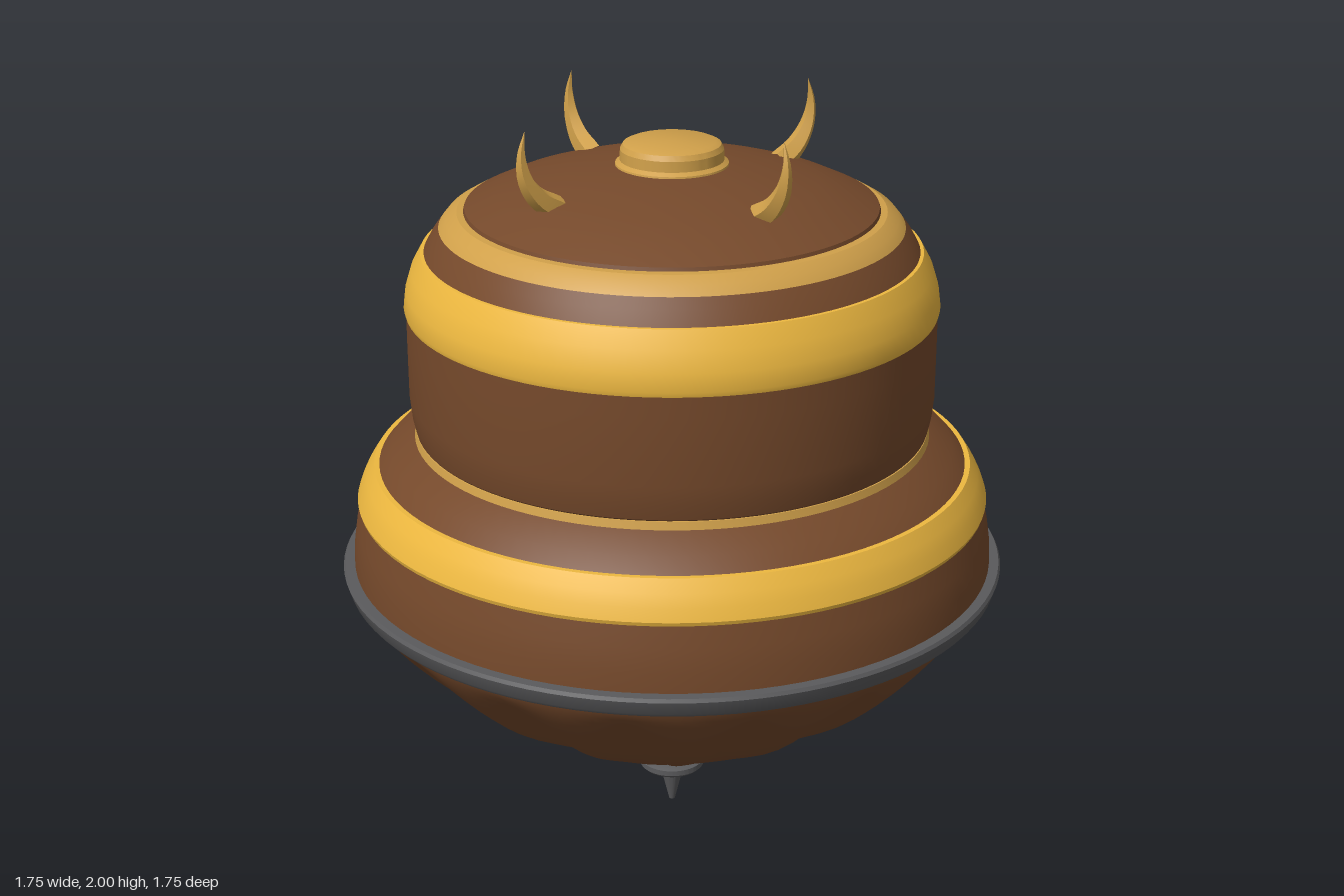
import * as THREE from 'three';
import { toCreasedNormals } from 'three/addons/utils/BufferGeometryUtils.js';

const material = (color) => new THREE.MeshStandardMaterial({ color });
const points = (list) => list.map(([r, y]) => new THREE.Vector2(r, y));

export function createModel() {
  const model = new THREE.Group();
  const brown = material(0x75492b);
  const gold = material(0xedb840);
  const paleGold = material(0xd0a04a);
  const steel = material(0x5a5a5c);

  const add = (name, geometry, mat, parent = model) => {
    const mesh = new THREE.Mesh(geometry, mat);
    mesh.name = name;
    parent.add(mesh);
    return mesh;
  };
  // Turned part: profile of [radius, height] from bottom to top
  const turn = (name, mat, profile) =>
    add(name, toCreasedNormals(new THREE.LatheGeometry(points(profile), 96), 0.4), mat);

  // Metal tip and collar
  turn('tip', steel, [[0, 0.005], [0.008, 0.01], [0.036, 0.125]]);
  turn('tipCollar', steel, [[0, 0.12], [0.08, 0.12], [0.088, 0.128], [0.088, 0.143], [0.07, 0.15], [0, 0.15]]);

  // Pleated bowl: sharp valleys between sixteen rounded ribs
  const pleats = 16;
  const curve = new THREE.SplineCurve(points([
    [0.05, 0.14], [0.22, 0.235], [0.4, 0.34], [0.57, 0.442], [0.68, 0.535], [0.77, 0.63], [0.82, 0.7], [0.84, 0.75],
  ]));
  const bowl = new THREE.LatheGeometry(curve.getPoints(20), pleats * 12);
  const p = bowl.attributes.position;
  for (let i = 0; i < p.count; i++) {
    const x = p.getX(i), z = p.getZ(i);
    const t = THREE.MathUtils.clamp((p.getY(i) - 0.14) / 0.57, 0, 1);
    const rib = Math.abs(Math.sin(Math.atan2(x, z) * pleats / 2));
    const k = 1 - 0.1 * (1 - rib) * Math.min(1, (1 - t) * 2.2);
    p.setX(i, x * k);
    p.setZ(i, z * k);
  }
  add('pleatedBowl', toCreasedNormals(bowl, 0.4), brown);

  // Metal rim
  turn('rim', steel, [[0.78, 0.735], [0.856, 0.735], [0.864, 0.745], [0.875, 0.78], [0.87, 0.789], [0.83, 0.79]]);

  // Lower tier
  turn('lowerBody', brown, [[0.845, 0.78], [0.843, 0.84], [0.834, 0.9], [0.818, 0.97]]);
  turn('lowerBand', gold, [
    [0.81, 0.958], [0.826, 0.958], [0.829, 0.968], [0.818, 1.0], [0.803, 1.03], [0.782, 1.062], [0.765, 1.062],
  ]);
  turn('lowerShoulder', brown, [[0.775, 1.055], [0.735, 1.098], [0.67, 1.137], [0.65, 1.137]]);
  turn('waistBand', paleGold, [[0.66, 1.13], [0.673, 1.136], [0.668, 1.156], [0.64, 1.16]]);

  // Upper tier
  turn('upperBody', brown, [
    [0.655, 1.145], [0.668, 1.16], [0.677, 1.2], [0.682, 1.25], [0.682, 1.42], [0.68, 1.49],
  ]);
  turn('upperBand', gold, [
    [0.67, 1.478], [0.684, 1.478], [0.687, 1.49], [0.681, 1.535], [0.665, 1.585], [0.64, 1.63], [0.62, 1.631],
  ]);
  turn('upperShoulder', brown, [[0.634, 1.625], [0.612, 1.665], [0.588, 1.696], [0.57, 1.698]]);
  turn('crownBand', paleGold, [[0.57, 1.692], [0.592, 1.692], [0.574, 1.714], [0.545, 1.731], [0.5, 1.733]]);

  // Domed lid and top button
  turn('lid', brown, [
    [0.5, 1.73], [0.528, 1.733], [0.525, 1.742], [0.45, 1.777], [0.37, 1.803], [0.27, 1.826], [0.14, 1.846], [0, 1.85],
  ]);
  turn('topButton', paleGold, [
    [0.145, 1.84], [0.143, 1.85], [0.132, 1.858], [0.131, 1.885], [0.124, 1.898], [0.11, 1.904], [0, 1.905],
  ]);

  // Four curved horns, tapering to a point
  const path = new THREE.CatmullRomCurve3([
    [0.35, 1.79], [0.405, 1.826], [0.442, 1.88], [0.452, 1.94], [0.44, 2],
  ].map(([x, y]) => new THREE.Vector3(x, y, 0)));
  const rings = 14, sides = 10;
  const horn = new THREE.TubeGeometry(path, rings, 0.033, sides);
  const hp = horn.attributes.position;
  const v = new THREE.Vector3();
  for (let i = 0; i < hp.count; i++) {
    const t = Math.floor(i / (sides + 1)) / rings;
    const fluting = i % (sides + 1) % 2 ? 0.82 : 1;
    const centre = path.getPointAt(t);
    v.fromBufferAttribute(hp, i).sub(centre).multiplyScalar((1 - t ** 1.4) * fluting).add(centre);
    hp.setXYZ(i, v.x, v.y, v.z);
  }
  const hornGeometry = toCreasedNormals(horn, 0.5);
  const horns = new THREE.Group();
  horns.name = 'horns';
  model.add(horns);
  for (let i = 0; i < 4; i++) add('horn', hornGeometry, paleGold, horns).rotation.y = i * Math.PI / 2;

  return model;
}
